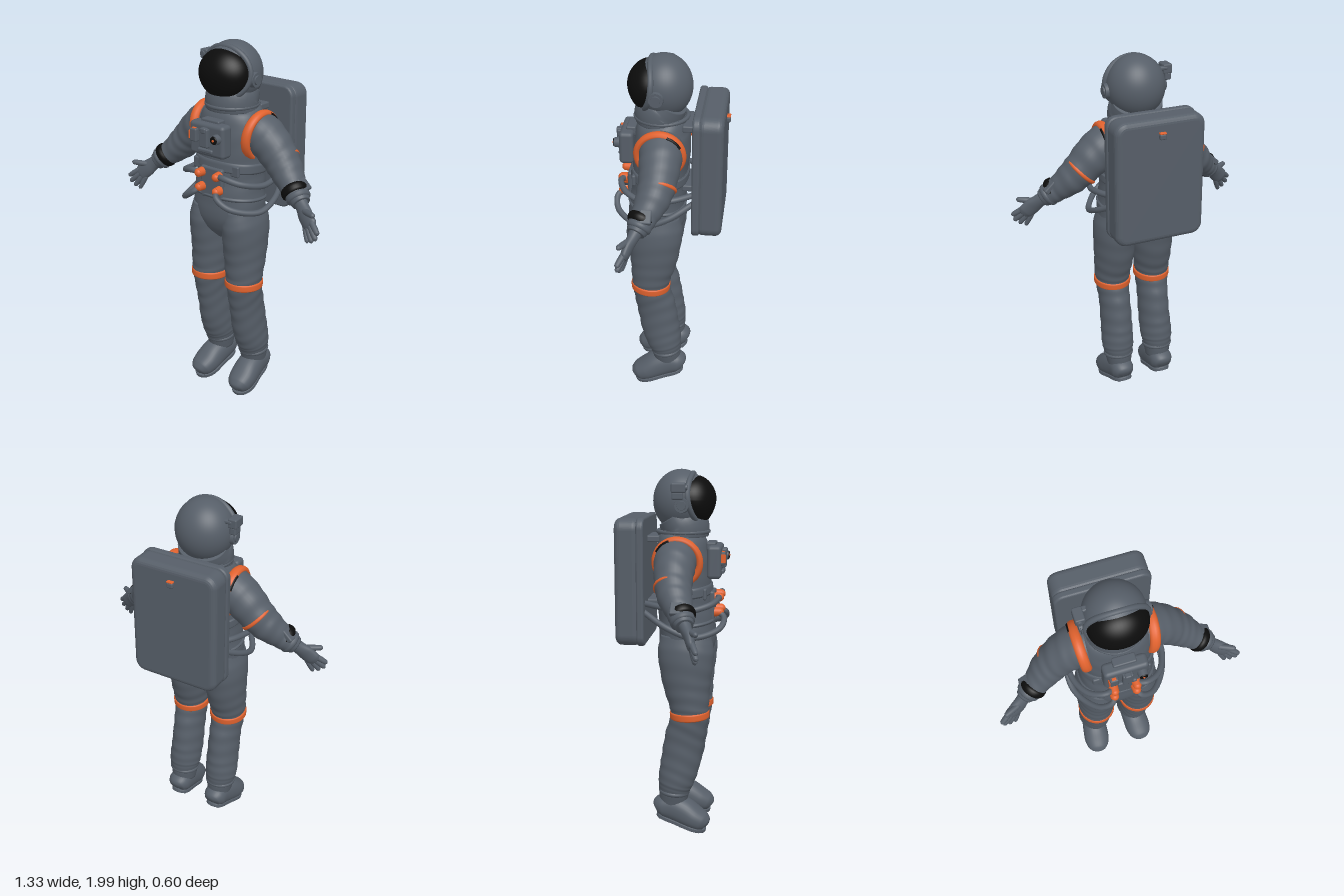
import * as THREE from 'three';
import { RoundedBoxGeometry } from 'three/addons/geometries/RoundedBoxGeometry.js';

const V = (x, y, z) => new THREE.Vector3(x, y, z);

// Smooth skin over elliptical sections [x, y, z, radiusU, radiusV] along a path.
function loft(rows, { ref = V(0, 0, 1), steps = 6, sides = 32, power = 1, fold = 0, folds = 14 } = {}) {
  const path = new THREE.CatmullRomCurve3(rows.map(r => V(r[0], r[1], r[2])));
  const radii = new THREE.CatmullRomCurve3(rows.map(r => V(r[3], r[4], 0)));
  const n = (rows.length - 1) * steps, pos = [], idx = [];
  const shape = c => Math.sign(c) * Math.abs(c) ** power;
  for (let i = 0; i <= n; i++) {
    const k = i / n, c = path.getPoint(k), r = radii.getPoint(k), t = path.getTangent(k);
    const u = t.clone().cross(ref).normalize(), v = t.clone().cross(u);
    for (let j = 0; j < sides; j++) {
      const a = j / sides * Math.PI * 2;
      const w = 1 + fold * Math.sin(k * folds * 6.28 + 1.8 * Math.sin(a) + Math.cos(2 * a)) * Math.sin(k * Math.PI);
      const p = c.clone().addScaledVector(u, r.x * w * shape(Math.cos(a))).addScaledVector(v, r.y * w * shape(Math.sin(a)));
      pos.push(p.x, p.y, p.z);
    }
  }
  for (let i = 0; i < n; i++) for (let j = 0; j < sides; j++) {
    const a = i * sides + j, b = i * sides + (j + 1) % sides;
    idx.push(a, b, a + sides, b, b + sides, a + sides);
  }
  // closed ends
  const first = path.getPoint(0), last = path.getPoint(1), e = pos.length / 3, m = n * sides;
  pos.push(first.x, first.y, first.z, last.x, last.y, last.z);
  for (let j = 0; j < sides; j++) {
    const q = (j + 1) % sides;
    idx.push(e, q, j, e + 1, m + j, m + q);
  }
  const g = new THREE.BufferGeometry();
  g.setAttribute('position', new THREE.Float32BufferAttribute(pos, 3));
  g.setIndex(idx);
  g.computeVertexNormals();
  return g;
}

const tube = (pts, r, closed = false, n = 48) =>
  new THREE.TubeGeometry(new THREE.CatmullRomCurve3(pts, closed), n, r, 10, closed);

// Upright slab with rounded corners and softened edges
function slab(w, h, d, corner, soft) {
  const x = w / 2 - soft, y = h / 2 - soft, r = corner, s = new THREE.Shape();
  s.moveTo(-x + r, -y);
  s.absarc(x - r, -y + r, r, -Math.PI / 2, 0);
  s.absarc(x - r, y - r, r, 0, Math.PI / 2);
  s.absarc(-x + r, y - r, r, Math.PI / 2, Math.PI);
  s.absarc(-x + r, -y + r, r, Math.PI, Math.PI * 1.5);
  return new THREE.ExtrudeGeometry(s, { depth: d - 2 * soft, bevelSize: soft, bevelThickness: soft, bevelSegments: 5 })
    .translate(0, 0, soft - d / 2);
}

export function createModel() {
  const root = new THREE.Group();
  const paint = (name, color) => {
    const m = new THREE.MeshStandardMaterial({ color });
    m.name = name;
    return m;
  };
  const suit = paint('suitGrey', 0x565e68), orange = paint('orangeTrim', 0xe0622e), black = paint('visorBlack', 0x0c0c0c);

  const add = (name, geo, mat = suit, x = 0, y = 0, z = 0, parent = root) => {
    const m = new THREE.Mesh(geo, mat);
    m.name = name;
    m.position.set(x, y, z);
    parent.add(m);
    return m;
  };
  const box = (name, w, h, d, x, y, z, mat = suit, r = 0.008, parent = root) =>
    add(name, new RoundedBoxGeometry(w, h, d, 2, Math.min(r, w / 2.1, h / 2.1, d / 2.1)), mat, x, y, z, parent);
  const disc = (name, r, len, axis, x, y, z, mat = suit) => {
    const g = new THREE.CylinderGeometry(r * 0.88, r, len, 24);
    return add(name, axis.x ? g.rotateZ(-Math.sign(axis.x) * Math.PI / 2) : g.rotateX(Math.PI / 2), mat, x, y, z);
  };
  // Band around a limb, facing along dir
  const band = (name, mat, at, dir, radius, thick, flatness = 1) => {
    const m = add(name, new THREE.TorusGeometry(radius, thick, 10, 40).scale(1, 1, flatness), mat, at.x, at.y, at.z);
    m.quaternion.setFromUnitVectors(V(0, 0, 1), dir.clone().normalize());
    return m;
  };

  // Helmet
  add('helmetShell', new THREE.SphereGeometry(1, 48, 32).scale(0.155, 0.165, 0.15), suit, 0, 1.835, 0.04);
  // Visor dome bulging from a curved edge: y is -1 at the chin and 1 at the brow
  const edge = y => 0.103 - 0.02 * y + 0.032 * y * y;
  const dome = new THREE.SphereGeometry(1, 48, 20, 0, Math.PI * 2, 0, Math.PI / 2).rotateX(Math.PI / 2);
  const dp = dome.attributes.position;
  for (let i = 0; i < dp.count; i++) {
    const x = dp.getX(i), y = dp.getY(i), e = edge(y);
    dp.setXYZ(i, 0.151 * x, 0.123 * y, e + (0.225 - e) * dp.getZ(i));
  }
  dome.computeVertexNormals();
  add('visor', dome, black, 0, 1.845, 0);
  const rim = [];
  for (let i = 0; i < 24; i++) {
    const a = i / 24 * Math.PI * 2, y = Math.sin(a);
    rim.push(V(0.152 * Math.cos(a), 1.845 + 0.132 * y, edge(y) - 0.012));
  }
  add('visorRim', tube(rim, 0.015, true, 80));
  add('helmetCollar', loft([[0, 1.76, 0.01, 0.135, 0.1], [0, 1.727, 0.03, 0.141, 0.115],
    [0, 1.7, 0.05, 0.145, 0.14], [0, 1.65, 0.05, 0.145, 0.135]]));
  add('neckRing', new THREE.TorusGeometry(0.136, 0.011, 10, 48).rotateX(Math.PI / 2), suit, 0, 1.675, 0.05);
  for (const s of [-1, 1]) {
    disc('earCap', 0.042, 0.036, V(s, 0, 0), s * 0.153, 1.82, 0.06);
    disc('earHub', 0.026, 0.016, V(s, 0, 0), s * 0.17, 1.82, 0.06);
  }
  box('helmetLamp', 0.05, 0.05, 0.075, -0.17, 1.91, 0.045);
  box('lampBattery', 0.035, 0.04, 0.06, -0.172, 1.87, 0.04);
  box('lampBracket', 0.05, 0.02, 0.03, -0.145, 1.915, 0.02);
  disc('lampLens', 0.016, 0.008, V(0, 0, 1), -0.174, 1.912, 0.086);

  // Torso and hips
  add('torso', loft([[0, 1.68, 0.045, 0.12, 0.1], [0, 1.65, 0.042, 0.155, 0.122], [0, 1.59, 0.045, 0.185, 0.14],
    [0, 1.48, 0.05, 0.196, 0.15], [0, 1.37, 0.058, 0.195, 0.146], [0, 1.28, 0.065, 0.195, 0.147],
    [0, 1.18, 0.075, 0.203, 0.153], [0, 1.09, 0.078, 0.205, 0.154], [0, 1.01, 0.08, 0.15, 0.13], [0, 0.95, 0.08, 0.05, 0.08]],
  { power: 0.88, sides: 48, fold: 0.008, folds: 9 }));
  add('belt', loft([[0, 1.385, 0.057, 0.197, 0.148], [0, 1.375, 0.058, 0.203, 0.154],
    [0, 1.34, 0.06, 0.203, 0.155], [0, 1.33, 0.061, 0.197, 0.149]], { power: 0.88, sides: 48 }));
  add('waistSeam', loft([[0, 1.2, 0.073, 0.202, 0.153], [0, 1.19, 0.074, 0.209, 0.159], [0, 1.18, 0.075, 0.203, 0.153]],
    { power: 0.88, sides: 48 }));

  // Chest control unit
  box('chestUnit', 0.23, 0.175, 0.075, 0, 1.52, 0.225, suit, 0.02);
  box('chestUnitTop', 0.12, 0.05, 0.05, 0, 1.597, 0.205);
  box('controlColumn', 0.055, 0.1, 0.03, 0, 1.535, 0.27);
  box('controlSwitch', 0.035, 0.03, 0.03, 0, 1.575, 0.275);
  box('controlSlot', 0.1, 0.022, 0.02, 0, 1.465, 0.266);
  box('sideModule', 0.045, 0.07, 0.035, -0.07, 1.54, 0.268);
  box('moduleSidePlate', 0.006, 0.045, 0.025, -0.094, 1.54, 0.274, orange, 0.002);
  box('moduleTopPlate', 0.022, 0.006, 0.014, -0.07, 1.576, 0.272, orange, 0.002);
  disc('dial', 0.028, 0.035, V(0, 0, 1), 0.077, 1.54, 0.272);
  disc('dialFace', 0.022, 0.006, V(0, 0, 1), 0.077, 1.54, 0.292, black);
  disc('dialMark', 0.007, 0.006, V(0, 0, 1), 0.077, 1.54, 0.295, orange);

  // Hose panel
  box('hosePanel', 0.15, 0.175, 0.03, 0, 1.275, 0.212, suit, 0.012);

  // Backpack
  add('backpack', slab(0.494, 0.672, 0.13, 0.03, 0.032), suit, 0, 1.42, -0.22);
  add('backpackRim', slab(0.498, 0.676, 0.04, 0.045, 0.012), suit, 0, 1.42, -0.149);
  box('backpackKnob', 0.036, 0.03, 0.024, 0, 1.668, -0.293);
  box('knobTop', 0.036, 0.008, 0.024, 0, 1.686, -0.293, orange, 0.003);
  for (const y of [1.64, 1.3]) box('backpackMount', 0.2, 0.035, 0.08, 0, y, -0.105);

  for (const s of [-1, 1]) {
    const P = (x, y, z) => V(s * x, y, z);
    const L = rows => rows.map(r => [s * r[0], ...r.slice(1)]);

    // Hoses and their couplings
    add('upperHose', tube([P(0.06, 1.33, 0.24), P(0.11, 1.335, 0.255), P(0.19, 1.31, 0.215), P(0.245, 1.285, 0.1),
      P(0.235, 1.3, -0.03), P(0.17, 1.31, -0.15)], 0.016));
    add('lowerHose', tube([P(0.06, 1.25, 0.24), P(0.075, 1.23, 0.278), P(0.15, 1.18, 0.265), P(0.245, 1.145, 0.13),
      P(0.25, 1.19, 0), P(0.18, 1.27, -0.15)], 0.016));
    for (const y of [1.33, 1.25]) {
      disc('hoseCoupling', 0.025, 0.035, V(0, 0, 1), s * 0.06, y, 0.245, orange);
      add('couplingCap', new THREE.SphereGeometry(0.022, 16, 12), orange, s * 0.06, y, 0.256);
    }
    box('beltPouch', 0.06, 0.06, 0.02, s * 0.125, 1.357, 0.182);

    // Leg
    add('leg', loft(L([[0.11, 1.13, 0.08, 0.09, 0.135], [0.115, 1.03, 0.08, 0.111, 0.152], [0.117, 0.87, 0.085, 0.109, 0.132],
      [0.122, 0.74, 0.1, 0.1, 0.108], [0.122, 0.67, 0.1, 0.094, 0.102], [0.12, 0.55, 0.075, 0.087, 0.109],
      [0.121, 0.4, 0.05, 0.089, 0.109], [0.124, 0.3, 0.028, 0.091, 0.099], [0.124, 0.255, 0.02, 0.083, 0.088],
      [0.123, 0.17, 0.01, 0.068, 0.075]]), { fold: 0.018, folds: 15, steps: 10 }));
    add('kneeBand', loft(L([[0.122, 0.711, 0.102, 0.1, 0.105], [0.122, 0.705, 0.1023, 0.104, 0.109],
      [0.122, 0.676, 0.1037, 0.103, 0.108], [0.122, 0.67, 0.104, 0.097, 0.102]]), { sides: 40, steps: 3 }), orange);
    band('ankleCuff', suit, P(0.124, 0.24, 0.018), V(0, 1, 0.1), 0.073, 0.014);

    // Boot: sections given as z, bottom, top, half width
    const boot = [[-0.087, 0.12, 0.15, 0.015], [-0.078, 0.095, 0.185, 0.048], [-0.05, 0.085, 0.21, 0.066], [0.01, 0.067, 0.222, 0.071],
      [0.07, 0.048, 0.2, 0.075], [0.13, 0.028, 0.158, 0.077], [0.175, 0.016, 0.125, 0.066], [0.198, 0.018, 0.095, 0.043], [0.206, 0.035, 0.065, 0.012]];
    add('boot', loft(boot.map(([z, b, t, w]) => [s * (0.125 + Math.max(0, z) * 0.1), (b + t) / 2, z, w, (t - b) / 2]),
      { ref: V(0, 1, 0), power: 0.9 }));
    const sole = new THREE.Group();
    sole.name = 'sole';
    sole.position.set(s * 0.126, 0.074, 0);
    sole.rotation.set(0.29, s * 0.1, 0);
    root.add(sole);
    const outline = new THREE.Shape();
    outline.moveTo(0, -0.08);
    outline.bezierCurveTo(0.06, -0.08, 0.055, -0.02, 0.055, 0.02);
    outline.bezierCurveTo(0.057, 0.06, 0.064, 0.09, 0.064, 0.12);
    outline.bezierCurveTo(0.064, 0.17, 0.032, 0.203, 0, 0.203);
    outline.bezierCurveTo(-0.032, 0.203, -0.064, 0.17, -0.064, 0.12);
    outline.bezierCurveTo(-0.064, 0.09, -0.057, 0.06, -0.055, 0.02);
    outline.bezierCurveTo(-0.055, -0.02, -0.06, -0.08, 0, -0.08);
    add('solePlate', new THREE.ExtrudeGeometry(outline, { depth: 0.014, bevelSize: 0.004, bevelThickness: 0.004, bevelSegments: 2 })
      .rotateX(Math.PI / 2), suit, 0, 0.01, 0, sole);
    for (let i = 0; i < 8; i++) box('tread', i > 3 && i < 7 ? 0.11 : 0.085, 0.01, 0.02, 0, -0.008, -0.055 + i * 0.032, suit, 0.004, sole);

    // Arm
    add('arm', loft(L([[0.1, 1.56, 0.03, 0.09, 0.1], [0.17, 1.545, 0.032, 0.109, 0.112], [0.235, 1.503, 0.032, 0.106, 0.107],
      [0.31, 1.43, 0.037, 0.095, 0.097], [0.37, 1.37, 0.055, 0.084, 0.088], [0.43, 1.315, 0.085, 0.066, 0.07],
      [0.47, 1.285, 0.102, 0.06, 0.063], [0.505, 1.258, 0.118, 0.048, 0.045]]), { fold: 0.02, folds: 9, steps: 10 }));
    band('elbowBand', orange, P(0.317, 1.42, 0.031), P(0.7, -0.7, 0.12), 0.0895, 0.007, 1.4);
    band('wristBand', black, P(0.448, 1.304, 0.099), P(0.7, -0.62, 0.33), 0.058, 0.013, 1.8);
    band('gloveCuff', suit, P(0.476, 1.28, 0.105), P(0.7, -0.62, 0.33), 0.05, 0.014, 1.3);
    const gauge = box('wristGauge', 0.075, 0.03, 0.06, s * 0.48, 1.34, 0.072);
    gauge.rotation.z = -s * 0.75;

    // Shoulder ring: a wide flat strap, with a dark seam behind the shoulder
    const around = (a, x) => P(x + 0.01 * Math.sin(a), 0.118 * Math.sin(a), 0.117 * Math.cos(a));
    const ring = Array.from({ length: 20 }, (_, i) => around(i / 20 * Math.PI * 2, 0));
    add('shoulderRing', tube(ring, 0.019, true, 60).scale(1.45, 1, 1), orange, s * 0.176, 1.528, 0.04);
    const seam = [1.9, 2.15, 2.4, 2.65].map(a => around(a, 0.024));
    add('shoulderSeam', tube(seam, 0.01, false, 16), black, s * 0.176, 1.528, 0.04);

    // Glove
    add('palm', loft(L([[0.48, 1.276, 0.108, 0.042, 0.038], [0.52, 1.245, 0.128, 0.038, 0.03], [0.555, 1.212, 0.147, 0.046, 0.026],
      [0.59, 1.18, 0.16, 0.044, 0.022], [0.605, 1.165, 0.165, 0.03, 0.014]])));
    const finger = (name, a, b, r) => {
      const q = k => { const p = P(...a).lerp(P(...b), k); return [p.x, p.y, p.z]; };
      add(name, loft([[...q(0), r, r], [...q(0.5), r * 0.98, r], [...q(0.9), r * 0.8, r * 0.8], [...q(1), 0.003, 0.003]], { sides: 14, steps: 4 }));
    };
    finger('indexFinger', [0.6, 1.2, 0.162], [0.662, 1.155, 0.194], 0.0155);
    finger('middleFinger', [0.588, 1.185, 0.162], [0.652, 1.122, 0.194], 0.016);
    finger('ringFinger', [0.573, 1.175, 0.16], [0.624, 1.1, 0.188], 0.0155);
    finger('littleFinger', [0.555, 1.17, 0.155], [0.592, 1.088, 0.18], 0.014);
    finger('thumb', [0.545, 1.238, 0.148], [0.632, 1.245, 0.19], 0.0165);
  }
  return root;
}
